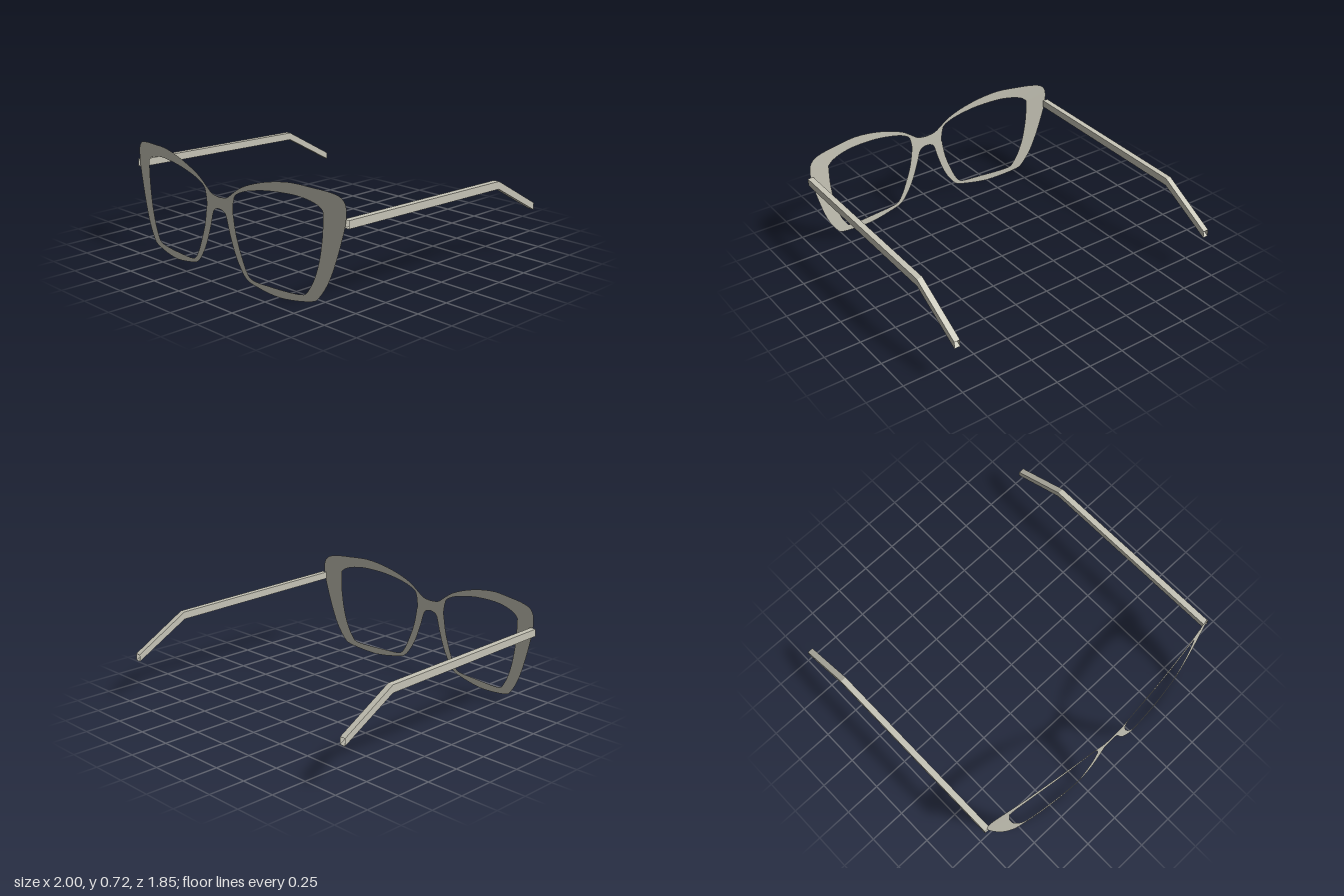
import * as THREE from 'three';

const frameMaterial = new THREE.MeshStandardMaterial({ color: 0xc8c6b8, side: THREE.DoubleSide });
frameMaterial.name = 'warm grey';

// Rim, from the top of the bridge round one lens to its underside, in hundredths:
// outer x, outer y, inner x, inner y
const RIM = [
  [0, 52.5, 13, 51], [7, 53.5, 13.5, 53], [13.5, 58, 15, 56.5], [20.5, 62.5, 20.5, 59.5],
  [32, 67, 29, 62], [45.5, 70.5, 43, 64.5], [60, 72.5, 60.5, 65.5], [75, 72, 71.5, 64.5],
  [84.5, 71.5, 78.5, 62.5], [93, 70, 82, 60], [97, 66.5, 82.5, 59], [98, 62, 82.5, 57],
  [97.5, 54, 82.5, 49.5], [94.5, 41.5, 82, 42], [90.5, 28, 80, 29], [86, 16.5, 76.5, 17.5],
  [80, 7, 72.5, 10], [75, 3.5, 69, 6.5], [60.5, 1, 59, 5.5], [47, 0.5, 43, 5.5],
  [31, 3, 29.5, 6], [23.5, 5.5, 24.5, 9.5], [18, 12, 20, 18.5], [13.5, 20, 15.5, 30.5],
  [9, 32, 13.5, 40], [6, 42, 13, 43.5], [3, 44.5, 12.5, 45], [0, 45, 12.5, 47],
];

// The front wraps back towards the temples
const wrapZ = (x) => 0.922 - 0.117 * x * x;

// One half of the front: a strip between the outer and inner outlines
function rimGeometry(side) {
  const steps = (RIM.length - 1) * 3;
  const outline = (c) => new THREE.SplineCurve(
    RIM.map((r) => new THREE.Vector2(r[c] / 100, r[c + 1] / 100))).getPoints(steps);
  const outer = outline(0), inner = outline(2);
  const positions = [], indices = [];
  for (let i = 0; i <= steps; i++) {
    for (const p of [outer[i], inner[i]]) positions.push(side * p.x, p.y, wrapZ(p.x));
  }
  // The last quad closes the loop across the bridge
  for (let i = 0; i <= steps; i++) {
    const a = 2 * i, b = a + 1, c = 2 * ((i + 1) % (steps + 1)), d = c + 1;
    if (side > 0) indices.push(a, b, c, c, b, d);
    else indices.push(a, c, b, c, d, b);
  }
  const g = new THREE.BufferGeometry();
  g.setAttribute('position', new THREE.Float32BufferAttribute(positions, 3));
  g.setIndex(indices);
  g.computeVertexNormals();
  return g;
}

// Temple arm: an open square tube that bends down behind the ear
function armGeometry(side) {
  const sections = [[0.81, 0.52, 0.57], [-0.54, 0.492, 0.543], [-0.925, 0.278, 0.325]];
  const [x0, x1] = side > 0 ? [0.96, 1] : [-1, -0.96];
  const rings = sections.map(([z, lo, hi]) =>
    [[x0, lo, z], [x1, lo, z], [x1, hi, z], [x0, hi, z]]);
  const positions = [];
  for (let s = 0; s < rings.length - 1; s++) {
    const a = rings[s], b = rings[s + 1];
    for (let k = 0; k < 4; k++) {
      const n = (k + 1) % 4;
      for (const p of [a[k], b[k], b[n], a[k], b[n], a[n]]) positions.push(...p);
    }
  }
  const g = new THREE.BufferGeometry();
  g.setAttribute('position', new THREE.Float32BufferAttribute(positions, 3));
  g.computeVertexNormals();
  return g;
}

export function createModel() {
  const model = new THREE.Group();
  model.name = 'eyeglasses';
  for (const [side, label] of [[1, 'left'], [-1, 'right']]) {
    const rim = new THREE.Mesh(rimGeometry(side), frameMaterial);
    rim.name = `${label}Rim`;
    const arm = new THREE.Mesh(armGeometry(side), frameMaterial);
    arm.name = `${label}Arm`;
    model.add(rim, arm);
  }
  return model;
}
